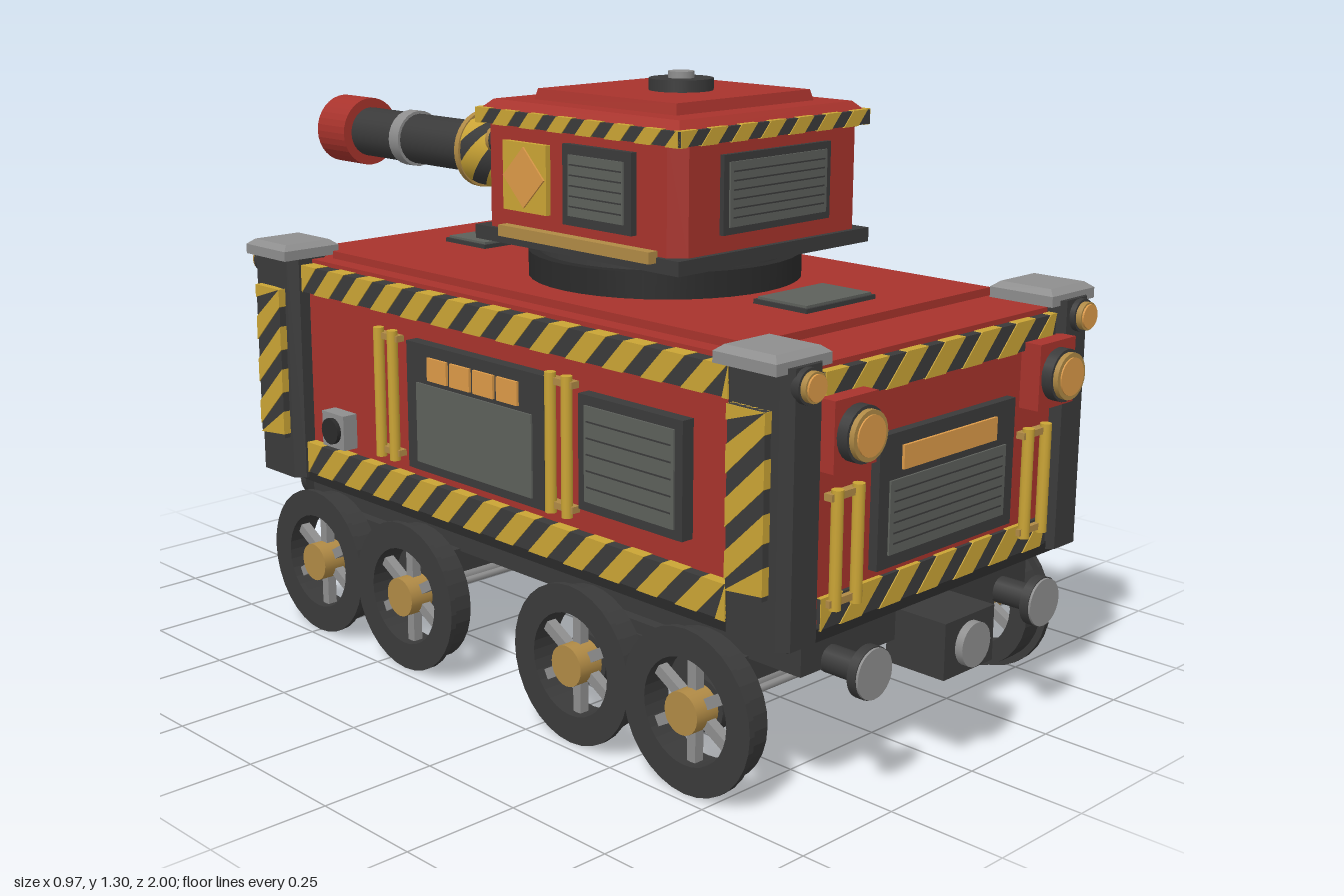
import * as THREE from 'three';
import { ParametricGeometry } from 'three/addons/geometries/ParametricGeometry.js';

const mat = (name, color, extra = {}) => {
  const m = new THREE.MeshStandardMaterial({ color, ...extra });
  m.name = name;
  return m;
};

export function createModel() {
  const red = mat('red paint', 0xa8332c), dark = mat('dark iron', 0x3a3a3a), black = mat('black iron', 0x2a2a2a);
  const steel = mat('steel', 0x8e8e8e), glass = mat('grey glass', 0x5d605b);
  const gold = mat('stripe gold', 0xcaa435, { side: THREE.DoubleSide });
  const brass = mat('brass', 0xb08a45), amber = mat('amber light', 0xdc9a48);
  const root = new THREE.Group();
  root.name = 'armouredRailcar';

  const group = (parent, name, x = 0, y = 0, z = 0, ry = 0) => {
    const g = new THREE.Group();
    g.name = name;
    g.position.set(x, y, z);
    g.rotation.y = ry;
    parent.add(g);
    return g;
  };
  const add = (parent, name, geo, m, x = 0, y = 0, z = 0) => {
    const mesh = new THREE.Mesh(geo, m);
    mesh.name = name;
    mesh.position.set(x, y, z);
    parent.add(mesh);
    return mesh;
  };
  const box = (p, name, m, w, h, d, x, y, z) => add(p, name, new THREE.BoxGeometry(w, h, d), m, x, y, z);
  // Cylinder along a chosen axis
  const cyl = (p, name, m, r, len, axis, x, y, z, seg = 24) => {
    const g = new THREE.CylinderGeometry(r, r, len, seg);
    if (axis === 'x') g.rotateZ(-Math.PI / 2);
    if (axis === 'z') g.rotateX(Math.PI / 2);
    return add(p, name, g, m, x, y, z);
  };
  // Upright block with its four vertical edges cut by c
  const prism = (p, name, m, w, h, d, c, x, y, z) => {
    const a = w / 2, b = d / 2;
    const pts = [[a, c - b], [a, b - c], [a - c, b], [c - a, b], [-a, b - c], [-a, c - b], [c - a, -b], [a - c, -b]];
    const g = new THREE.ExtrudeGeometry(new THREE.Shape(pts.map(q => new THREE.Vector2(...q))), { depth: h, bevelEnabled: false });
    g.rotateX(-Math.PI / 2).translate(0, -h / 2, 0);
    return add(p, name, g, m, x, y, z);
  };
  // Box whose top is inset
  const taper = (p, name, m, w, h, d, inset, x, y, z) => {
    const g = new THREE.BoxGeometry(w, h, d), a = g.attributes.position;
    for (let i = 0; i < a.count; i++) {
      if (a.getY(i) < 0) continue;
      a.setX(i, a.getX(i) - Math.sign(a.getX(i)) * inset);
      a.setZ(i, a.getZ(i) - Math.sign(a.getZ(i)) * inset);
    }
    g.computeVertexNormals();
    return add(p, name, g, m, x, y, z);
  };
  // Dark bar with slanted gold stripes wrapping over its edges, facing +z of its group
  const hazard = (p, name, len, h, d, pitch, x, y, z, ry = 0, upright = false) => {
    const g = group(p, name, x, y, z, ry);
    const strip = group(g, 'strip');
    if (upright) strip.rotation.z = Math.PI / 2;
    box(strip, 'stripBacking', dark, len, h, d, 0, 0, 0);
    const lean = (upright ? -1 : 1) * h, c = v => Math.max(-len / 2, Math.min(len / 2, v));
    const shapes = [];
    for (let a = -len / 2 - h; a < len / 2 + h; a += pitch) {
      const b = a + pitch * 0.54;
      const xs = [c(a), c(b), c(b + lean), c(a + lean)];
      if (Math.max(...xs) - Math.min(...xs) < 0.004) continue;
      shapes.push(new THREE.Shape(xs.map((v, i) => new THREE.Vector2(v, (i < 2 ? -1 : 1) * (h / 2 + 0.0015)))));
    }
    const geo = new THREE.ExtrudeGeometry(shapes, { depth: d, bevelEnabled: false });
    add(strip, 'goldStripes', geo, gold, 0, 0, 0.002 - d / 2);
  };
  // Framed window facing +z, optional fine slats
  const windowPanel = (p, name, w, h, x, y, z, ry, slats = 0, gw = w - 0.04, gh = h - 0.04, gy = 0) => {
    const g = group(p, name, x, y, z, ry);
    box(g, 'windowFrame', dark, w, h, 0.03, 0, 0, 0);
    box(g, 'windowGlass', glass, gw, gh, 0.006, 0, gy, 0.016);
    for (let i = 0; i < slats; i++)
      box(g, 'slat', dark, gw * 0.94, 0.003, 0.003, 0, gy + ((i + 0.5) / slats - 0.5) * gh * 0.85, 0.019);
    return g;
  };
  // Pair of upright pipes with brackets, facing +z
  const pipes = (p, x, y, z, ry, h, gap) => {
    const g = group(p, 'pipePair', x, y, z, ry);
    for (const s of [-1, 1]) {
      cyl(g, 'pipe', gold, 0.012, h, 'y', s * gap, 0, 0, 12);
      box(g, 'pipeBracket', brass, gap * 2 + 0.035, 0.014, 0.02, 0, s * h * 0.44, -0.008);
    }
  };

  // Hull, measured about its own middle
  const hull = group(root, 'hull', 0, 0, 0.09);
  box(hull, 'hullBody', red, 0.82, 0.5, 1.58, 0, 0.605, 0);
  box(hull, 'hullFloor', black, 0.88, 0.025, 1.62, 0, 0.35, 0);
  box(hull, 'roofPanel', red, 0.74, 0.02, 1.28, 0, 0.862, 0);
  box(hull, 'chassis', dark, 0.71, 0.09, 1.54, 0, 0.3, 0);
  for (const z of [0.48, -0.49]) {
    box(hull, 'roofVentFrame', dark, 0.21, 0.016, 0.14, 0, 0.873, z);
    box(hull, 'roofVent', glass, 0.197, 0.008, 0.128, 0, 0.882, z);
  }

  // Both ends alike
  for (const ry of [0, Math.PI]) {
    const end = group(hull, 'endWall', 0, 0, 0, ry);
    box(end, 'endPlate', red, 0.72, 0.46, 0.02, 0, 0.6, 0.795);
    hazard(end, 'upperStripes', 0.71, 0.06, 0.02, 0.115, 0, 0.815, 0.803);
    hazard(end, 'lowerStripes', 0.71, 0.06, 0.02, 0.115, 0, 0.39, 0.803);
    const win = windowPanel(end, 'endWindow', 0.42, 0.26, 0, 0.57, 0.81, 0, 6, 0.36, 0.145, -0.032);
    box(win, 'lightStrip', amber, 0.29, 0.047, 0.008, 0, 0.08, 0.017);
    box(end, 'couplerBlock', dark, 0.155, 0.115, 0.14, 0, 0.262, 0.82);
    cyl(end, 'couplerFace', steel, 0.045, 0.02, 'z', 0, 0.262, 0.897);
    for (const s of [-1, 1]) {
      prism(end, 'cornerPost', dark, 0.11, 0.525, 0.158, 0.02, s * 0.412, 0.607, 0.744);
      box(end, 'postCap', steel, 0.148, 0.022, 0.152, s * 0.413, 0.87, 0.737);
      taper(end, 'postCapTop', steel, 0.148, 0.012, 0.152, 0.015, s * 0.413, 0.887, 0.737);
      hazard(end, 'postStripes', 0.35, 0.09, 0.022, 0.1, s * 0.472, 0.615, 0.74, s * Math.PI / 2, true);
      cyl(end, 'markerLampRing', dark, 0.034, 0.02, 'z', s * 0.42, 0.835, 0.825);
      cyl(end, 'markerLamp', brass, 0.029, 0.03, 'z', s * 0.42, 0.835, 0.832);
      cyl(end, 'markerLens', amber, 0.025, 0.006, 'z', s * 0.42, 0.835, 0.848);
      box(end, 'headlampBox', red, 0.12, 0.135, 0.05, s * 0.312, 0.735, 0.825);
      cyl(end, 'headlampRing', dark, 0.054, 0.026, 'z', s * 0.312, 0.735, 0.86);
      cyl(end, 'headlampRim', brass, 0.048, 0.014, 'z', s * 0.312, 0.735, 0.877);
      cyl(end, 'headlampLens', amber, 0.039, 0.004, 'z', s * 0.312, 0.735, 0.885);
      pipes(end, s * 0.295, 0.51, 0.822, 0, 0.23, 0.03);
      cyl(end, 'bufferStem', dark, 0.028, 0.09, 'z', s * 0.27, 0.27, 0.81, 16);
      cyl(end, 'bufferDisc', dark, 0.052, 0.02, 'z', s * 0.27, 0.27, 0.862);
      cyl(end, 'bufferFace', steel, 0.05, 0.006, 'z', s * 0.27, 0.27, 0.874);
    }
  }

  // Side walls, mirrored
  for (const s of [-1, 1]) {
    const ry = s * Math.PI / 2, side = group(hull, 'sideWall');
    box(side, 'sidePlate', red, 0.012, 0.36, 1.34, s * 0.414, 0.61, 0);
    hazard(side, 'upperStripes', 1.32, 0.06, 0.036, 0.105, s * 0.425, 0.815, 0, ry);
    hazard(side, 'lowerStripes', 1.32, 0.07, 0.036, 0.105, s * 0.425, 0.395, 0, ry);
    windowPanel(side, 'sideWindow', 0.285, 0.235, s * 0.434, 0.605, 0.41, ry, 5);
    const win = windowPanel(side, 'wideWindow', 0.44, 0.28, s * 0.434, 0.598, -0.053, ry, 0, 0.37, 0.175, -0.033);
    for (let i = 0; i < 4; i++) box(win, 'windowLight', amber, 0.064, 0.05, 0.008, (i - 1.5) * 0.075, 0.09, 0.017);
    for (const z of [0.207, -0.35]) pipes(side, s * 0.446, 0.605, z, ry, 0.29, 0.024);
    box(side, 'socketBox', steel, 0.04, 0.08, 0.08, s * 0.437, 0.485, -0.54);
    cyl(side, 'socket', black, 0.03, 0.012, 'x', s * 0.461, 0.485, -0.54, 16);
  }

  // Running gear
  const rim = (outer, inner, depth) => {
    const sh = new THREE.Shape().absarc(0, 0, outer, 0, Math.PI * 2);
    sh.holes.push(new THREE.Path().absarc(0, 0, inner, 0, Math.PI * 2, true));
    return new THREE.ExtrudeGeometry(sh, { depth, bevelEnabled: false, curveSegments: 16 });
  };
  for (const bz of [0.43, -0.43]) {
    box(hull, 'bogieFrame', dark, 0.76, 0.055, 0.42, 0, 0.233, bz);
    for (const s of [-1, 1]) box(hull, 'bogieBeam', dark, 0.03, 0.07, 0.42, s * 0.37, 0.2, bz);
    for (const dz of [-0.16, 0.16]) {
      const z = bz + dz;
      cyl(hull, 'axle', steel, 0.018, 0.8, 'x', 0, 0.174, z, 12);
      for (const o of [-0.035, 0.035]) cyl(hull, 'brakeRod', steel, 0.008, 0.76, 'x', 0, 0.175, z + o, 8);
      for (const s of [-1, 1]) {
        const wheel = group(hull, 'wheel', s * 0.412, 0.167, z, s * Math.PI / 2);
        add(wheel, 'tyre', rim(0.152, 0.108, 0.053), dark);
        add(wheel, 'flange', rim(0.167, 0.108, 0.013), dark, 0, 0, 0.052);
        cyl(wheel, 'innerHub', dark, 0.055, 0.045, 'z', 0, 0, -0.005, 16);
        cyl(wheel, 'hub', brass, 0.043, 0.058, 'z', 0, 0, 0.046);
        for (let i = 0; i < 3; i++)
          box(wheel, 'spokePair', steel, 0.022, 0.225, 0.022, 0, 0, 0.035).rotation.z = i * Math.PI / 3;
      }
    }
  }
  cyl(hull, 'tank', steel, 0.114, 0.25, 'z', 0, 0.2, 0);
  for (const z of [-0.105, 0.105]) cyl(hull, 'tankBand', dark, 0.117, 0.02, 'z', 0, 0.2, z);

  // Turret
  const turret = group(root, 'turret', 0, 0, 0.165);
  cyl(turret, 'turretRing', black, 0.293, 0.062, 'y', 0, 0.896, -0.018, 40);
  cyl(turret, 'turretNeck', dark, 0.27, 0.03, 'y', 0, 0.938, -0.018, 40);
  box(turret, 'turretBase', dark, 0.575, 0.03, 0.61, 0, 0.96, 0);
  prism(turret, 'turretBody', red, 0.555, 0.24, 0.585, 0.03, 0, 1.092, 0);
  taper(turret, 'turretRoof', red, 0.55, 0.018, 0.586, 0.018, 0, 1.234, 0);
  for (let i = 0; i < 4; i++) {
    const a = i * Math.PI / 2, odd = i % 2, d = odd ? 0.276 : 0.294;
    hazard(turret, 'roofStripes', odd ? 0.6 : 0.565, 0.03, 0.02, 0.085, Math.sin(a) * d, 1.21, Math.cos(a) * d, a);
  }
  taper(turret, 'roofHatchPlate', red, 0.41, 0.024, 0.42, 0.006, 0, 1.254, 0.005);
  cyl(turret, 'hatch', dark, 0.068, 0.026, 'y', 0, 1.278, 0.027);
  cyl(turret, 'hatchKnob', steel, 0.028, 0.016, 'y', 0, 1.297, 0.027, 16);
  windowPanel(turret, 'rearWindow', 0.32, 0.16, 0, 1.09, 0.288, 0, 6, 0.29, 0.13);
  for (const s of [-1, 1]) {
    windowPanel(turret, 'turretWindow', 0.2, 0.165, s * 0.277, 1.092, 0.078, s * Math.PI / 2, 5);
    box(turret, 'signalPlate', gold, 0.02, 0.145, 0.135, s * 0.28, 1.092, -0.142);
    const d = box(turret, 'signalDiamond', amber, 0.006, 0.09, 0.09, s * 0.291, 1.092, -0.142);
    d.rotation.x = Math.PI / 4;
    box(turret, 'sideRail', brass, 0.025, 0.024, 0.45, s * 0.295, 0.976, 0.018);
    cyl(turret, 'turretLampRing', dark, 0.034, 0.02, 'z', s * 0.215, 1.15, -0.295, 16);
    cyl(turret, 'turretLamp', brass, 0.028, 0.035, 'z', s * 0.215, 1.15, -0.305, 16);
  }

  // Gun, pointing towards -z
  const gun = group(root, 'gun', 0, 1.083, 0);
  cyl(gun, 'gunFlange', brass, 0.132, 0.045, 'z', 0, 0, -0.165, 32);
  cyl(gun, 'gunCollar', dark, 0.108, 0.06, 'z', 0, 0, -0.215, 32);
  cyl(gun, 'sleeve', dark, 0.084, 0.21, 'z', 0, 0, -0.345, 32);
  for (let k = 0; k < 5; k++) {
    const stripe = new ParametricGeometry((u, v, t) => {
      const a = (k + u * 0.55) * Math.PI * 0.4 + v * 2.2;
      t.set(Math.cos(a) * 0.0865, Math.sin(a) * 0.0865, -0.245 - v * 0.195);
    }, 6, 14);
    add(gun, 'sleeveStripe', stripe, gold);
  }
  cyl(gun, 'sleeveRing', brass, 0.09, 0.015, 'z', 0, 0, -0.445, 32);
  cyl(gun, 'barrel', dark, 0.06, 0.46, 'z', 0, 0, -0.68);
  cyl(gun, 'barrelBand', steel, 0.067, 0.036, 'z', 0, 0, -0.712);
  add(gun, 'muzzle', rim(0.083, 0.05, 0.11), red, 0, 0, -1);
  cyl(gun, 'bore', black, 0.051, 0.01, 'z', 0, 0, -0.935);
  return root;
}
